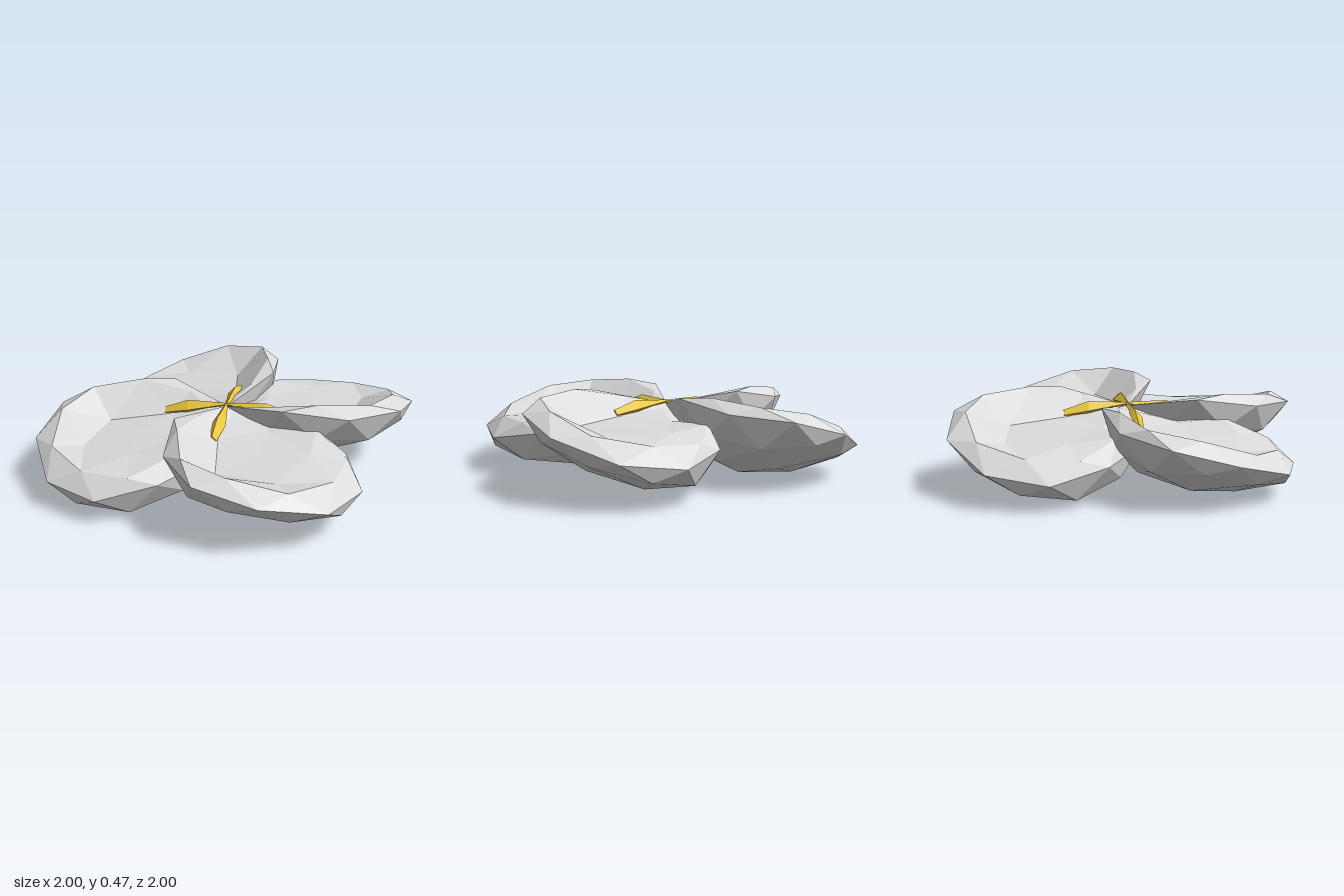
import * as THREE from 'three';

const petalGrey = new THREE.MeshStandardMaterial({ color: 0xdcdcdc });
petalGrey.name = 'petalGrey';
const stamenYellow = new THREE.MeshStandardMaterial({ color: 0xe6c43c });
stamenYellow.name = 'stamenYellow';

// Move every vertex by a rule, then give each face its own flat normal
function reshape(geometry, rule) {
  const g = geometry.index ? geometry.toNonIndexed() : geometry;
  const p = g.attributes.position;
  const v = new THREE.Vector3();
  for (let i = 0; i < p.count; i++) {
    v.fromBufferAttribute(p, i);
    rule(v);
    p.setXYZ(i, v.x, v.y, v.z);
  }
  g.computeVertexNormals();
  return g;
}

// Petal: faceted ball flattened to a shell, pinched at the flower centre,
// drooping outward, twisted and cupped so its +z side is higher
function petalGeometry() {
  const ball = new THREE.IcosahedronGeometry(1, 1);
  ball.rotateZ(Math.atan((1 + Math.sqrt(5)) / 2) - Math.PI / 2);
  return reshape(ball, (v) => {
    const onRim = v.y > 0.1 && v.y < 0.6;
    let u = 0.5 + 0.525 * v.x * (onRim ? 0.93 : 1);
    if (v.y < -0.6) u -= 0.085 * v.y * v.y;
    const pinch = Math.min(1, Math.sqrt(Math.max(0, u) / 0.2));
    const across = v.z * (0.47 + 0.16 * (u - 0.5)) * pinch;
    let thick;
    if (v.y < 0.1) thick = 0.285 * v.y * (1 - 0.5 * Math.max(0, (u - 0.6) / 0.4));
    else if (onRim) thick = (0.125 * v.y - 0.12 * Math.max(0, 1 - u / 0.25)) * pinch;
    else thick = 0.02 - 0.05 * (1 - u) - 0.2 * across;
    const twist = 0.14 + 0.14 * u * u + 0.25 * Math.max(0, 1 - u / 0.4);
    v.set(u, -0.12 * u + across * twist + thick * pinch, across);
  });
}

// Stamen: four-sided spike from the centre, widest past the middle, blunt tip
function stamenGeometry() {
  const rod = new THREE.CylinderGeometry(1, 1, 0.34, 4, 2);
  rod.rotateZ(-Math.PI / 2);
  rod.translate(0.17, 0, 0);
  return reshape(rod, (v) => {
    const [x, y, radius] =
      v.x < 0.1 ? [0, 0.014, 0.006] : v.x < 0.25 ? [0.21, -0.014, 0.042] : [0.34, -0.04, 0.024];
    v.set(x, y + v.y * radius, v.z * radius);
  });
}

export function createModel() {
  const model = new THREE.Group();
  model.name = 'flower';

  // The whole bloom leans slightly
  const bloom = new THREE.Group();
  bloom.name = 'bloom';
  bloom.rotation.set(-0.01, 0, 0.048);
  model.add(bloom);

  const petalShape = petalGeometry();
  const stamenShape = stamenGeometry();
  for (let k = 0; k < 4; k++) {
    const turn = (-k * Math.PI) / 2;
    const petal = new THREE.Mesh(petalShape, petalGrey);
    petal.name = 'petal' + (k + 1);
    petal.rotation.y = turn;
    const stamen = new THREE.Mesh(stamenShape, stamenYellow);
    stamen.name = 'stamen' + (k + 1);
    stamen.rotation.y = turn - Math.PI / 6;
    bloom.add(petal, stamen);
  }

  // Stand the bloom on the ground, centred
  const box = new THREE.Box3().setFromObject(model, true);
  const c = box.getCenter(new THREE.Vector3());
  bloom.position.set(-c.x, -box.min.y, -c.z);
  return model;
}
